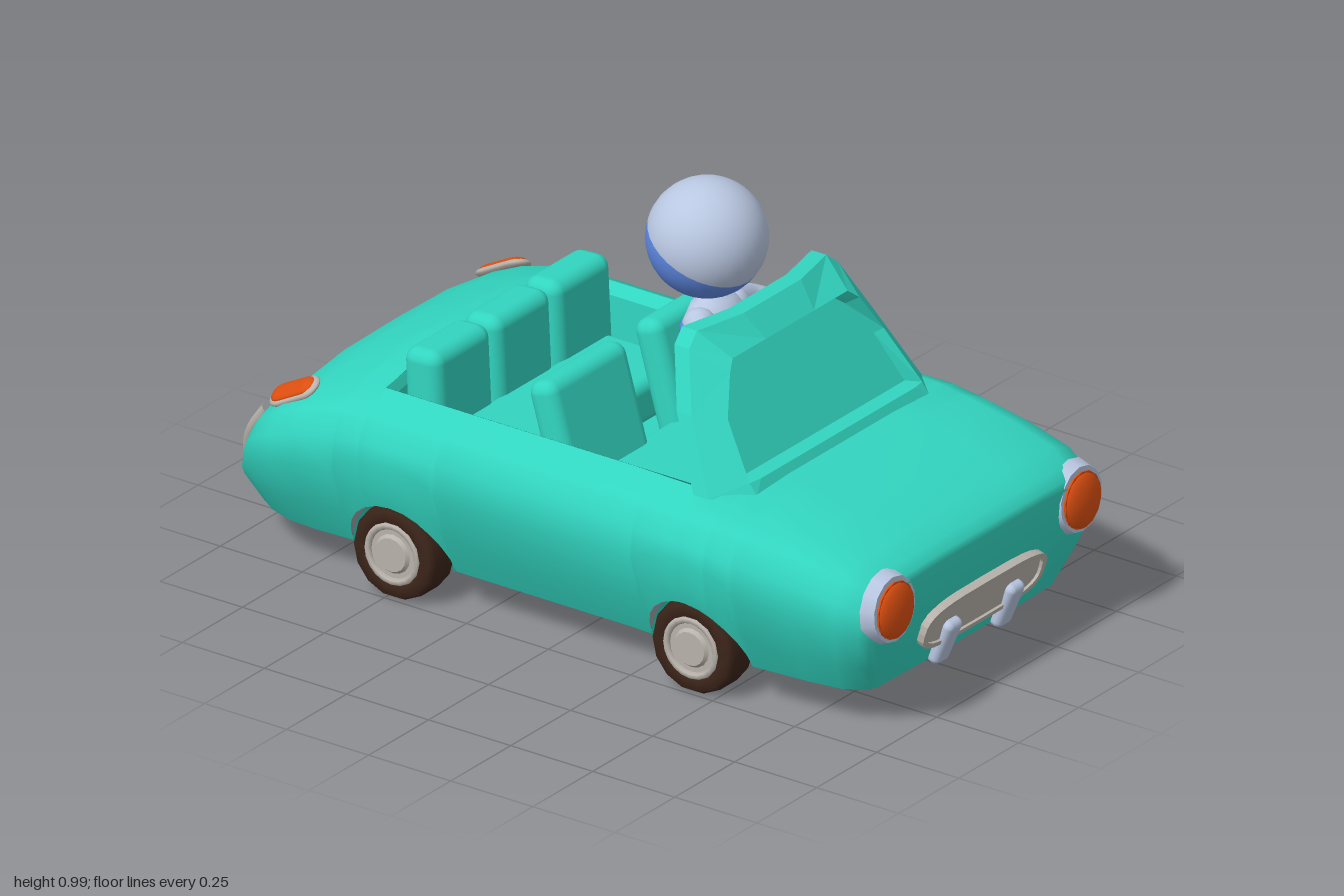
import * as THREE from 'three';
import { RoundedBoxGeometry } from 'three/addons/geometries/RoundedBoxGeometry.js';

const mat = (name, color, side = THREE.FrontSide) => {
  const m = new THREE.MeshStandardMaterial({ color, side });
  m.name = name;
  return m;
};
const paint = mat('teal paint', 0x32d5c0, THREE.DoubleSide);
const silver = mat('blue silver', 0xb9c7e1);
const blue = mat('blue', 0x5f89e4);
const orange = mat('orange lamp', 0xdc4e10);
const rubber = mat('dark brown', 0x3b2419);
const metal = mat('warm grey metal', 0xb8b3ab);

// Surface through rows of [x, y, z] points; keep(row, column) may leave holes
function loft(rows, keep = () => true, flat = false) {
  const n = rows[0].length, index = [];
  for (let r = 0; r < rows.length - 1; r++) for (let c = 0; c < n - 1; c++) {
    if (!keep(r, c)) continue;
    const a = r * n + c, b = a + n;
    index.push(a, b, a + 1, a + 1, b, b + 1);
  }
  let g = new THREE.BufferGeometry();
  g.setAttribute('position', new THREE.Float32BufferAttribute(rows.flat(2), 3));
  g.setIndex(index);
  if (flat) g = g.toNonIndexed();
  g.computeVertexNormals();
  return g;
}
const mirrored = (half) => [...half, ...half.slice(0, -1).reverse().map(([x, ...rest]) => [-x, ...rest])];
const { lerp, clamp, smoothstep } = THREE.MathUtils;

// Body stations: z, half width, shoulder height, crown
const stations = [
  [0.965, 0.465, 0.415, 0], [0.94, 0.49, 0.437, 0], [0.88, 0.515, 0.465, 0], [0.75, 0.53, 0.495, 0],
  [0.6, 0.545, 0.515, 0], [0.5, 0.55, 0.527, 0], [0.41, 0.545, 0.53, 0], [0.2, 0.535, 0.53, 0],
  [-0.3, 0.535, 0.53, 0], [-0.56, 0.535, 0.53, 0.04], [-0.65, 0.54, 0.52, 0.035], [-0.75, 0.545, 0.49, 0.03],
  [-0.83, 0.54, 0.455, 0.025], [-0.9, 0.51, 0.405, 0.015], [-0.95, 0.47, 0.345, 0.005],
  [-0.985, 0.43, 0.28, 0], [-1.0, 0.4, 0.22, 0],
];
// Half section: width fraction, height fraction
const section = [[0.82, 0], [0.92, 0.25], [1, 0.55], [0.985, 0.75], [0.915, 0.895], [0.765, 0.985], [0.4, 1], [0, 1]];
const FLOOR = 0.1, WHEELS = [0.43, -0.48], ARCH = 0.155, OPEN = [0.41, -0.56];

function station(z) {
  let i = 0;
  while (i < stations.length - 2 && stations[i + 1][0] > z) i++;
  const a = stations[i], b = stations[i + 1], t = (z - a[0]) / (b[0] - a[0]);
  return a.map((v, k) => lerp(v, b[k], t));
}
function widthAt(f) {
  let i = 0;
  while (i < 3 && section[i + 1][1] < f) i++;
  const [a, b] = [section[i], section[i + 1]];
  return lerp(a[0], b[0], (f - a[1]) / (b[1] - a[1]));
}
function ring(z, scale = 1, push = 0) {
  const [, w, top, crown] = station(z), h = top - FLOOR;
  // The wheel arch lifts the lower edge
  const arch = Math.max(0, ...WHEELS.map((c) => Math.sqrt(Math.max(0, ARCH ** 2 - (z - c) ** 2))));
  const f0 = arch / h, f3 = section[3][1];
  return mirrored(section.map(([wx, f], i) => {
    if (i < 3) { f = f0 + (f3 - f0) * f / f3; wx = widthAt(f); }
    const x = wx * w * scale;
    const y = FLOOR + (f * h + crown * (i === 7 ? 1 : i === 6 ? 0.85 : 0)) * scale;
    // The nose leans back below; the tail is hollowed between its fins
    const lean = clamp((z - 0.75) / 0.2, 0, 1) * Math.max(0, 0.3 - y) * 0.35;
    const hollow = 0.042 * (1 - smoothstep(x, 0.22, 0.38)) * clamp((-0.85 - z) / 0.12, 0, 1);
    return [x, y, z + push - lean + hollow];
  }));
}
function bodyShell() {
  const zs = stations.map((s) => s[0]);
  for (const c of WHEELS) for (let i = 0; i <= 12; i++) zs.push(c + ARCH * Math.cos(Math.PI * i / 12));
  const sorted = [...new Set(zs)].sort((a, b) => b - a);
  const nose = [[0.01, 0.012], [0.5, 0.012], [0.94, 0.007]].map(([s, p]) => ring(0.965, s, p));
  const tail = [0.9, 0.5, 0.01].map((s) => ring(-1, s));
  return loft([...nose, ...sorted.map((z) => ring(z)), ...tail], (r, c) => {
    const z = sorted[r - 3];
    return !(z <= OPEN[0] && z > OPEN[1] && c >= 5 && c <= 8);
  });
}

// Windscreen surface: a raked flat front with side wings turned back
const screenZ = (x, y, d) => 0.525 - d - (y - 0.53) * 0.57
  - 1.1 * Math.max(0, Math.abs(x) - 0.36 + 0.36 * (y - 0.53)) - Math.max(0, y - 0.83) * 0.6;
// Outlines from top centre down the side to bottom centre
const outer = [[0, 0.862], [0.12, 0.862], [0.27, 0.862], [0.31, 0.83], [0.38, 0.69], [0.445, 0.515], [0.36, 0.515], [0.2, 0.515], [0, 0.515]];
const inner = [[0, 0.8], [0.1, 0.8], [0.24, 0.8], [0.27, 0.775], [0.325, 0.68], [0.36, 0.545], [0.32, 0.545], [0.2, 0.545], [0, 0.545]];
const recess = inner.map(([x, y]) => [x * 0.945, 0.545 + (y - 0.545) * 0.91]);

// Rounded lozenge outline for the grille
function lozenge(w, h) {
  const pts = [];
  for (let i = 0; i < 32; i++) {
    const a = Math.PI * 2 * i / 32, c = Math.cos(a), s = Math.sin(a);
    pts.push(new THREE.Vector2(w * Math.sign(c) * Math.abs(c) ** 0.5, h * Math.sign(s) * Math.abs(s) ** 0.65));
  }
  return new THREE.Shape(pts);
}

export function createModel() {
  const model = new THREE.Group();
  const add = (name, geo, material, pos = [0, 0, 0], rot = [0, 0, 0], parent = model) => {
    const m = new THREE.Mesh(geo, material);
    m.name = name;
    m.position.set(...pos);
    m.rotation.set(...rot);
    parent.add(m);
    return m;
  };
  const box = (w, h, d, r = 0.03) => new RoundedBoxGeometry(w, h, d, 3, r);
  const vec = (pts) => new THREE.CatmullRomCurve3(pts.map((p) => new THREE.Vector3(...p)));

  add('body', bodyShell(), paint);

  // Cockpit lining, floor pan and firewall
  const tubRing = (x, z0, z1, y, crown) => [[0, y, z0], [x, y, z0], [x, y, z1], [x * 0.5, y + crown * 0.85, z1],
    [0, y + crown, z1], [-x * 0.5, y + crown * 0.85, z1], [-x, y, z1], [-x, y, z0], [0, y, z0]];
  add('cockpitLining', loft([tubRing(0.411, 0.41, -0.56, 0.525, 0.04), tubRing(0.385, 0.41, -0.55, 0.5, 0.04),
    tubRing(0.38, 0.42, -0.55, 0.36, 0)], undefined, true), paint);
  add('floorPan', loft([0.34, -0.49].map((z) => mirrored([[0.38, 0.36, z], [0.34, 0.23, z], [0, 0.23, z]])), undefined, true), paint);
  add('firewall', loft([[[-0.38, 0.37, 0.42], [0.38, 0.37, 0.42]], [[-0.38, 0.23, 0.34], [0.38, 0.23, 0.34]]]), paint);

  // Windscreen: mirrored frame halves around a recessed pane
  for (const s of [-1, 1]) {
    const edge = (pts, d) => pts.map(([x, y]) => [s * x, y, screenZ(x, y, d)]);
    add('windscreenFrame', loft([edge(outer, 0), edge(inner, 0), edge(recess, 0.045), edge(outer, 0.045), edge(outer, 0)],
      undefined, true), paint);
  }
  add('windscreenPane', loft(recess.slice(2, 6).map(([w, y]) => [-1, 0, 1].map((u) => [u * w, y, screenZ(u * w, y, 0.045)]))), paint);

  // Seats
  add('frontCushion', box(0.74, 0.12, 0.28), paint, [0, 0.34, 0.09]);
  add('rearCushion', box(0.71, 0.12, 0.26), paint, [0, 0.36, -0.32]);
  for (const x of [-0.22, 0.22]) add('frontSeatBack', box(0.33, 0.38, 0.085, 0.035), paint, [x, 0.465, -0.07], [-0.28, 0, 0]);
  for (const x of [-0.25, 0, 0.25]) add('rearSeatBack', box(0.24, 0.3, 0.11, 0.035), paint, [x, 0.475, -0.485], [-0.05, 0, 0]);

  // Wheels and wheel wells
  const tyre = new THREE.LatheGeometry([[0.07, -0.053], [0.115, -0.053], [0.125, -0.035], [0.125, 0.035], [0.115, 0.053],
    [0.085, 0.053], [0.08, 0.04]].map((p) => new THREE.Vector2(...p)), 14);
  const well = new THREE.CylinderGeometry(0.153, 0.153, 0.09, 16, 1, true, 0, Math.PI);
  for (const s of [-1, 1]) for (const z of WHEELS) {
    const wheel = new THREE.Group();
    wheel.name = 'wheel';
    wheel.position.set(s * 0.444, 0.125, z);
    wheel.rotation.z = -s * Math.PI / 2;
    add('tyre', tyre, rubber, undefined, undefined, wheel);
    add('innerDisc', new THREE.CylinderGeometry(0.08, 0.08, 0.02, 14), rubber, [0, -0.042, 0], undefined, wheel);
    add('rim', new THREE.CylinderGeometry(0.083, 0.083, 0.06, 20), metal, [0, 0.018, 0], undefined, wheel);
    add('rimRing', new THREE.TorusGeometry(0.075, 0.01, 6, 20), metal, [0, 0.048, 0], [Math.PI / 2, 0, 0], wheel);
    add('hubCap', new THREE.CylinderGeometry(0.045, 0.055, 0.012, 16), metal, [0, 0.051, 0], undefined, wheel);
    model.add(wheel);
    add('wheelWell', well, paint, [s * 0.405, FLOOR, z], [0, 0, Math.PI / 2]);
  }

  for (const s of [-1, 1]) {
    // Headlamps, set through the nose
    add('headlampRing', new THREE.CylinderGeometry(0.086, 0.099, 0.035, 14), silver, [s * 0.39, 0.343, 0.957], [Math.PI / 2 - 0.06, 0, 0]);
    add('headlampBack', new THREE.CylinderGeometry(0.075, 0.075, 0.05, 14), orange, [s * 0.39, 0.341, 0.955], [Math.PI / 2 - 0.06, 0, 0]);
    add('headlampLens', new THREE.SphereGeometry(0.075, 14, 6, 0, Math.PI * 2, 0, Math.PI / 2), orange,
      [s * 0.39, 0.341, 0.972], [Math.PI / 2 - 0.06, 0, 0]).scale.y = 0.37;
    // Bumper guards
    add('bumperGuard', box(0.062, 0.135, 0.045, 0.018), silver, [s * 0.13, 0.152, 0.935], [0.4, 0, 0]);
    // Tail lamps
    const lamp = new THREE.Group();
    lamp.name = 'tailLamp';
    lamp.position.set(s * 0.435, 0.451, -0.82);
    lamp.rotation.set(1.08, -s * 0.45, 0);
    add('tailLampRim', new THREE.CapsuleGeometry(0.039, 0.085, 6, 14), metal, undefined, undefined, lamp).scale.z = 0.35;
    add('tailLampLens', new THREE.CapsuleGeometry(0.031, 0.08, 6, 14), orange, [0, 0, -0.007], undefined, lamp).scale.z = 0.4;
    model.add(lamp);
    // Tail trim strips
    add('tailStrip', new THREE.TubeGeometry(vec([[s * 0.435, 0.385, -0.9], [s * 0.42, 0.3, -0.96],
      [s * 0.39, 0.21, -0.986], [s * 0.355, 0.13, -0.985]]), 14, 0.018, 8), metal);
  }
  add('tailPlate', box(0.31, 0.085, 0.04, 0.018), metal, [0, 0.25, -0.965], [0.15, 0, 0]);

  // Grille
  const rim = lozenge(0.252, 0.069);
  rim.holes.push(lozenge(0.235, 0.056));
  add('grilleRim', new THREE.ExtrudeGeometry(rim, { depth: 0.03, bevelEnabled: false }), metal, [0, 0.222, 0.937], [0.3, 0, 0]);
  add('grille', new THREE.ExtrudeGeometry(lozenge(0.24, 0.06), { depth: 0.03, bevelEnabled: false }), metal, [0, 0.222, 0.928], [0.27, 0, 0]);

  // Steering wheel
  const steering = new THREE.Group();
  steering.name = 'steeringWheel';
  steering.position.set(0.22, 0.58, 0.275);
  steering.rotation.x = 0.73;
  add('steeringRim', new THREE.TorusGeometry(0.082, 0.011, 8, 24), rubber, undefined, undefined, steering);
  add('steeringHub', new THREE.CylinderGeometry(0.02, 0.02, 0.025, 12), rubber, undefined, [Math.PI / 2, 0, 0], steering);
  for (let i = 0; i < 3; i++) {
    const a = Math.PI / 2 + i * Math.PI * 2 / 3;
    add('spoke', new THREE.BoxGeometry(0.08, 0.016, 0.01), rubber, [Math.cos(a) * 0.04, Math.sin(a) * 0.04, 0], [0, 0, a], steering);
  }
  model.add(steering);

  // Driver: pale figure with a blue underside
  const head = [0.21, 0.845, -0.035], split = 1.7;
  add('headTop', new THREE.SphereGeometry(0.153, 32, 20, 0, Math.PI * 2, 0, split), silver, head, [0.5, 0, 0]);
  add('headBack', new THREE.SphereGeometry(0.153, 32, 12, 0, Math.PI * 2, split, Math.PI - split), blue, head, [0.5, 0, 0]);
  const torso = new THREE.LatheGeometry([[0, 0.38], [0.09, 0.39], [0.11, 0.44], [0.11, 0.55], [0.1, 0.64], [0.065, 0.69], [0, 0.72]]
    .map((p) => new THREE.Vector2(...p)), 24);
  add('torso', torso, silver, [0.21, 0, 0.085], [-0.15, 0, 0]).scale.z = 0.75;
  add('torsoBack', torso, blue, [0.21, -0.012, 0.08], [-0.15, 0, 0]).scale.z = 0.75;
  const limb = (name, pts, r) => {
    const tube = new THREE.TubeGeometry(vec(pts), 24, r, 12);
    const tip = new THREE.SphereGeometry(r * 1.02, 14, 10);
    for (const [material, dy, dz] of [[silver, 0, 0], [blue, -0.014, -0.008]]) {
      add(name, tube, material, [0, dy, dz]);
      for (const [x, y, z] of [pts[0], pts.at(-1)]) add(name + 'End', tip, material, [x, y + dy, z + dz]);
    }
  };
  limb('leftArm', [[0.29, 0.64, -0.015], [0.385, 0.605, -0.03], [0.425, 0.58, 0.02], [0.4, 0.57, 0.11], [0.36, 0.58, 0.2]], 0.043);
  limb('rightArm', [[0.13, 0.645, 0], [0.08, 0.63, 0.06], [0.07, 0.605, 0.12], [0.085, 0.585, 0.18], [0.11, 0.575, 0.235]], 0.043);
  for (const x of [0.14, 0.28]) limb('leg', [[x, 0.43, 0.06], [x, 0.44, 0.16], [x, 0.36, 0.26], [x, 0.24, 0.29]], 0.05);

  return model;
}
